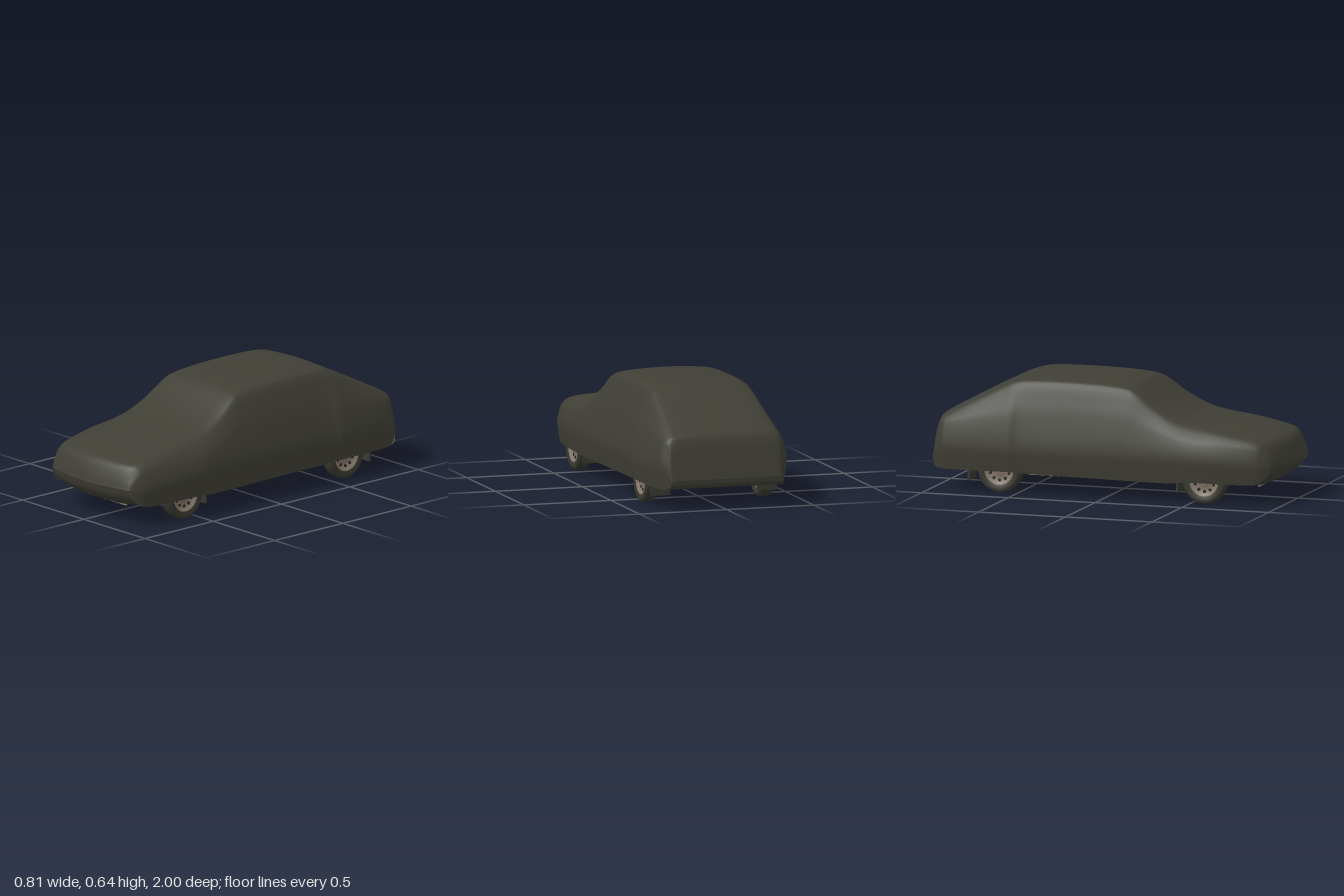
import * as THREE from 'three';

const mat = (name, color, side = THREE.FrontSide) => {
  const m = new THREE.MeshStandardMaterial({ color, side });
  m.name = name;
  return m;
};

// Smooth open sheet through rows of control points
function loft(rows, nu, nv) {
  const columns = rows[0].map((_, j) => new THREE.CatmullRomCurve3(rows.map(r => r[j])));
  const pos = [], index = [];
  for (let i = 0; i <= nu; i++) {
    const section = new THREE.CatmullRomCurve3(columns.map(c => c.getPoint(i / nu)));
    for (let j = 0; j <= nv; j++) pos.push(...section.getPoint(j / nv).toArray());
  }
  for (let i = 0; i < nu; i++) {
    for (let j = 0; j < nv; j++) {
      const a = i * (nv + 1) + j, c = a + nv + 1;
      index.push(a, a + 1, c, a + 1, c + 1, c);
    }
  }
  const g = new THREE.BufferGeometry();
  g.setAttribute('position', new THREE.Float32BufferAttribute(pos, 3));
  g.setIndex(index);
  g.computeVertexNormals();
  return g;
}

// The nose curves back towards the sides
const bowed = (x, y, z) => {
  const k = THREE.MathUtils.clamp((z - 0.6) / 0.4, 0, 1);
  return new THREE.Vector3(x, y, z - 0.055 * k * (x / 0.33) ** 2);
};

// Draped cross-section from top height, roof half width, shoulder height,
// widest half width and hem height, mirrored about x = 0
function coverSection([z, top, roofW, shoulderY, wide, hem]) {
  const crown = Math.min(0.022, 0.22 * (top - shoulderY));
  const edgeY = top - crown * 1.5;
  const wideY = Math.min(0.25, hem + 0.6 * (shoulderY - hem));
  const shoulderW = wide - 0.01 - 0.15 * Math.max(shoulderY - 0.25, 0);
  const hemW = wide - 0.15 * (wideY - hem);
  const half = [
    [roofW * 0.55, top - crown * 0.25], [roofW * 0.92, top - crown * 0.75], [roofW + 0.008, edgeY],
    [(roofW + shoulderW) / 2 + 0.01, (edgeY + shoulderY) / 2], [shoulderW, shoulderY], [wide, wideY],
    [(hemW + wide) / 2, hem + (wideY - hem) * 0.4], [hemW, hem],
  ];
  return [
    ...half.slice().reverse().map(([x, y]) => bowed(-x, y, z)),
    bowed(0, top, z),
    ...half.map(([x, y]) => bowed(x, y, z)),
  ];
}

// Sheet tucked under the nose or tail: rows of z, y, half width, side lift
const tuckSection = ([z, y, w, lift]) =>
  [-1, -0.8, -0.4, 0, 0.4, 0.8, 1].map(t => bowed(t * w, y + lift * t ** 4, z));

export function createModel() {
  const cover = mat('cover cloth', 0x403f36, THREE.DoubleSide);
  const rubber = mat('tyre rubber', 0x383831);
  const rimMetal = mat('rim metal', 0x85776a);
  const floorPaint = mat('underbody', 0x272923);
  const steel = mat('suspension steel', 0x343832);
  const rust = mat('exhaust rust', 0x66362d);
  const sillPaint = mat('sill paint', 0x8c7765);

  const model = new THREE.Group();
  model.name = 'coveredCar';
  const add = (name, geo, material, x = 0, y = 0, z = 0, parent = model) => {
    const m = new THREE.Mesh(geo, material);
    m.name = name;
    m.position.set(x, y, z);
    parent.add(m);
    return m;
  };
  const box = (name, material, w, h, d, x, y, z) =>
    add(name, new THREE.BoxGeometry(w, h, d), material, x, y, z);
  const tube = (name, material, r, pts) => {
    const curve = new THREE.CatmullRomCurve3(pts.map(p => new THREE.Vector3(...p)), false, 'catmullrom', 0.2);
    return add(name, new THREE.TubeGeometry(curve, 48, r, 10), material);
  };

  // Cover, nose to tail
  const nose = [
    [1.0, 0.22, 0.25, 0.22, 0.31, 0.22],
    [0.985, 0.275, 0.26, 0.25, 0.325, 0.175],
    [0.955, 0.335, 0.28, 0.28, 0.345, 0.14],
    [0.92, 0.358, 0.3, 0.3, 0.36, 0.12],
    [0.7, 0.405, 0.32, 0.32, 0.395, 0.118],
    [0.5, 0.435, 0.315, 0.33, 0.405, 0.118],
  ];
  const cabin = [
    [0.4, 0.46, 0.31, 0.35, 0.4, 0.108],
    [0.28, 0.52, 0.295, 0.38, 0.393, 0.106],
    [0.15, 0.608, 0.28, 0.41, 0.39, 0.106],
    [0.1, 0.624, 0.275, 0.42, 0.39, 0.107],
    [-0.15, 0.64, 0.274, 0.42, 0.39, 0.11],
    [-0.48, 0.635, 0.274, 0.42, 0.394, 0.116],
  ];
  const tail = [
    [-0.54, 0.624, 0.276, 0.42, 0.403, 0.12],
    [-0.6, 0.598, 0.279, 0.415, 0.401, 0.12],
    [-0.92, 0.432, 0.297, 0.365, 0.371, 0.115],
    [-0.95, 0.413, 0.296, 0.35, 0.356, 0.118],
    [-0.968, 0.375, 0.29, 0.32, 0.34, 0.122],
    [-0.983, 0.29, 0.285, 0.265, 0.328, 0.13],
    [-1.0, 0.17, 0.27, 0.17, 0.31, 0.17],
  ];
  add('cover', loft([...nose, ...cabin, ...tail].map(coverSection), 120, 80), cover);
  add('noseTuck', loft([
    [0.998, 0.22, 0.31, 0], [0.975, 0.165, 0.322, 0.005], [0.925, 0.122, 0.335, 0.012], [0.84, 0.085, 0.32, 0.05],
  ].map(tuckSection), 16, 24), cover);
  add('tailTuck', loft([
    [-0.998, 0.17, 0.31, 0], [-0.99, 0.135, 0.322, 0], [-0.96, 0.119, 0.338, 0], [-0.88, 0.118, 0.355, 0],
  ].map(tuckSection), 12, 16), cover);

  // Wheels
  const lathe = (pts, n) => new THREE.LatheGeometry(pts.map(p => new THREE.Vector2(...p)), n);
  const tyreGeo = lathe([
    [0.082, -0.03], [0.1, -0.037], [0.114, -0.035], [0.123, -0.026], [0.125, 0],
    [0.123, 0.026], [0.114, 0.035], [0.1, 0.037], [0.082, 0.03],
  ], 40);
  const rimGeo = lathe([
    [0, -0.02], [0.082, -0.03], [0.086, 0.03], [0.078, 0.033], [0.07, 0.018], [0.04, 0.014], [0.03, 0.024], [0, 0.026],
  ], 32);
  const slotGeo = new THREE.CylinderGeometry(0.009, 0.009, 0.006, 10);
  for (const side of [1, -1]) {
    for (const z of [0.58, -0.6]) {
      const wheel = new THREE.Group();
      wheel.name = 'wheel';
      add('tyre', tyreGeo, rubber, 0, 0, 0, wheel);
      add('rim', rimGeo, rimMetal, 0, 0, 0, wheel);
      for (let i = 0; i < 10; i++) {
        const a = i * Math.PI / 5;
        add('rimSlot', slotGeo, floorPaint, 0.056 * Math.cos(a), 0.0155, 0.056 * Math.sin(a), wheel);
      }
      wheel.position.set(side * 0.333, 0.125, z);
      wheel.rotation.z = -side * Math.PI / 2;
      model.add(wheel);
    }
    // Mud flaps, sills, chassis rails and suspension
    box('frontMudFlap', rubber, 0.12, 0.08, 0.012, side * 0.298, 0.097, 0.425);
    box('rearMudFlap', rubber, 0.11, 0.08, 0.012, side * 0.305, 0.1, -0.775);
    box('sill', sillPaint, 0.018, 0.025, 0.8, side * 0.353, 0.122, -0.03);
    box('chassisRail', steel, 0.035, 0.025, 0.85, side * 0.21, 0.125, -0.02);
    tube('frontArm', steel, 0.012, [[side * 0.3, 0.11, 0.58], [side * 0.2, 0.115, 0.57], [side * 0.12, 0.13, 0.55]]);
    tube('trailingArm', steel, 0.011, [[side * 0.25, 0.11, -0.6], [side * 0.24, 0.12, -0.45], [side * 0.22, 0.135, -0.3]]);
    box('rearSpring', steel, 0.03, 0.09, 0.03, side * 0.24, 0.17, -0.6);
  }

  // Floor pan, bay ceilings, tunnel and drive line
  box('floorPan', floorPaint, 0.7, 0.012, 0.84, 0, 0.14, 0);
  box('rearBayFloor', floorPaint, 0.56, 0.012, 0.54, 0, 0.19, -0.68);
  box('frontBayFloor', floorPaint, 0.54, 0.012, 0.5, 0, 0.18, 0.66);
  box('tunnel', steel, 0.09, 0.014, 0.8, 0, 0.13, 0);
  for (const z of [0.33, -0.1, -0.4]) box('floorRib', steel, 0.62, 0.014, 0.03, 0, 0.132, z);
  box('frontCrossMember', steel, 0.46, 0.03, 0.06, 0, 0.125, 0.55);
  box('engineSump', steel, 0.15, 0.05, 0.2, 0, 0.14, 0.64);
  box('frontValance', sillPaint, 0.32, 0.012, 0.012, 0, 0.087, 0.83);
  tube('propShaft', steel, 0.013, [[0, 0.125, 0.45], [0, 0.122, 0], [0, 0.125, -0.58]]);
  add('rearAxle', new THREE.CylinderGeometry(0.018, 0.018, 0.62, 16), steel, 0, 0.125, -0.6).rotation.z = Math.PI / 2;
  add('differential', new THREE.SphereGeometry(0.045, 20, 14), steel, 0, 0.125, -0.6);

  // Exhaust with two silencers, and rusty floor plates
  tube('exhaustPipe', rust, 0.011, [
    [0.1, 0.15, 0.68], [0.145, 0.112, 0.62], [0.06, 0.108, 0.35], [-0.02, 0.106, 0.18], [-0.02, 0.106, -0.26],
    [0.06, 0.112, -0.38], [0.15, 0.13, -0.48], [0.15, 0.165, -0.6], [0.15, 0.145, -0.72], [0.15, 0.135, -0.94],
  ]);
  const silencer = (name, r, length, x, y, z) => {
    const m = add(name, new THREE.CylinderGeometry(r, r, length, 20), rust, x, y, z);
    m.rotation.x = Math.PI / 2;
    m.scale.x = 1.5;
  };
  silencer('middleSilencer', 0.025, 0.22, -0.02, 0.115, 0.05);
  silencer('rearSilencer', 0.034, 0.23, 0.15, 0.15, -0.82);
  for (const [x, z] of [[-0.27, 0.2], [0.12, -0.27]]) box('floorPlate', rust, 0.08, 0.008, 0.14, x, 0.132, z);
  return model;
}
